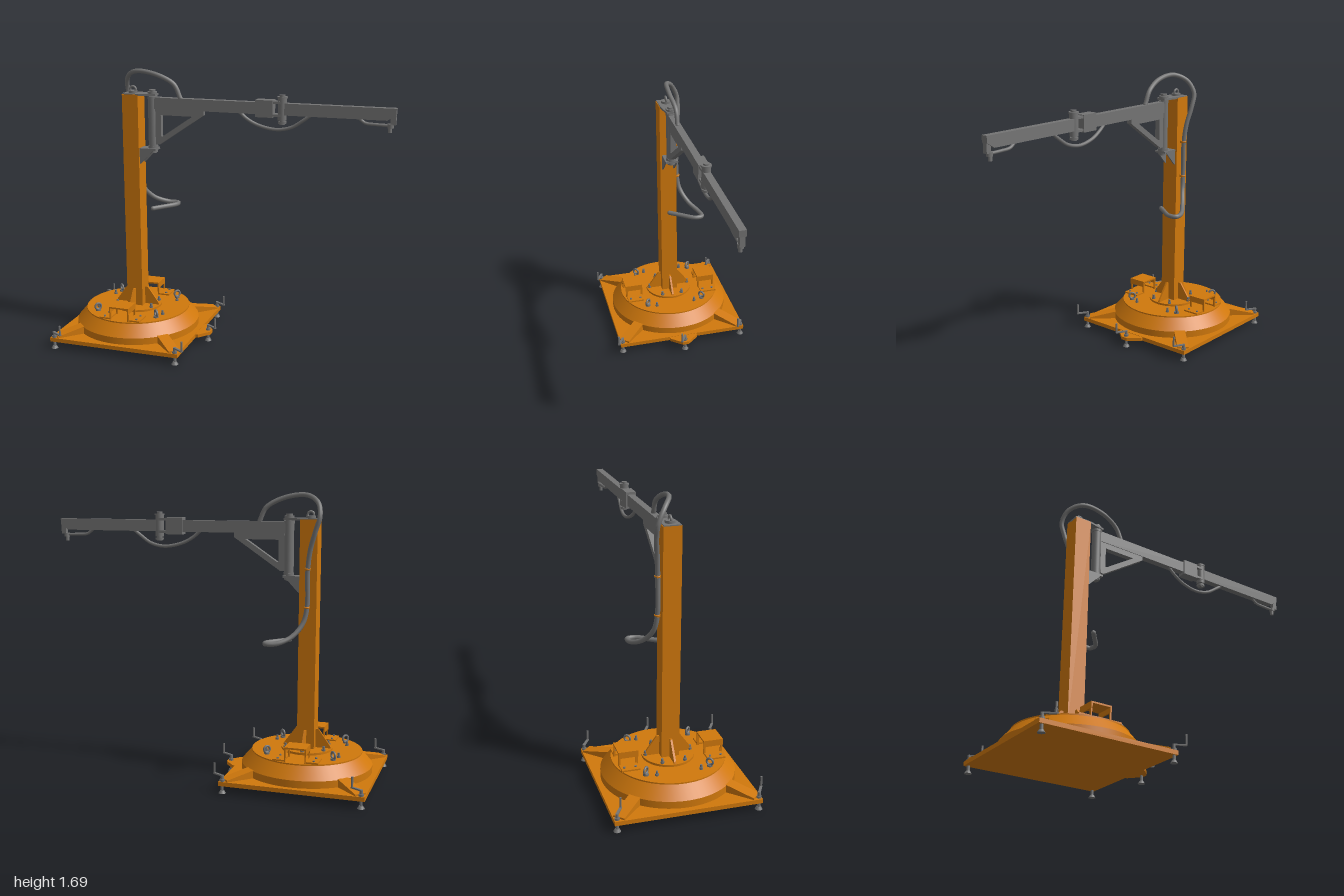
import * as THREE from 'three';

export function createModel() {
  const orange = new THREE.MeshStandardMaterial({ color: 0xd0780c });
  orange.name = 'orange paint';
  const grey = new THREE.MeshStandardMaterial({ color: 0x747474 });
  grey.name = 'grey steel';

  const model = new THREE.Group();
  model.name = 'pillarJib';
  const CX = -0.583, CZ = -0.012; // mast axis

  const add = (name, geo, mat, x = 0, y = 0, z = 0, parent = model) => {
    const m = new THREE.Mesh(geo, mat);
    m.name = name;
    m.position.set(x, y, z);
    parent.add(m);
    return m;
  };
  // box given by its min and max corners
  const box = (name, mat, x0, x1, y0, y1, z0, z1, parent) =>
    add(name, new THREE.BoxGeometry(x1 - x0, y1 - y0, z1 - z0), mat,
      (x0 + x1) / 2, (y0 + y1) / 2, (z0 + z1) / 2, parent);
  // upright cylinder between two heights
  const rod = (name, mat, r, x, y0, y1, z, parent, sides = 20) =>
    add(name, new THREE.CylinderGeometry(r, r, y1 - y0, sides), mat, x, (y0 + y1) / 2, z, parent);
  // outline in x,y extruded along z, centred on z
  const slab = (name, mat, pts, depth, z, hole, parent) => {
    const toV = (p) => new THREE.Vector2(p[0], p[1]);
    const s = new THREE.Shape(pts.map(toV));
    if (hole) s.holes.push(new THREE.Path(hole.map(toV)));
    const g = new THREE.ExtrudeGeometry(s, { depth, bevelEnabled: false });
    g.translate(0, 0, -depth / 2);
    return add(name, g, mat, 0, 0, z, parent);
  };
  const hose = (name, pts, r) => {
    const curve = new THREE.CatmullRomCurve3(pts.map((p) => new THREE.Vector3(...p)));
    add(name, new THREE.TubeGeometry(curve, pts.length * 8, r, 12), grey);
    for (const p of [pts[0], pts[pts.length - 1]]) {
      add(name + 'End', new THREE.SphereGeometry(r, 10, 8), grey, ...p);
    }
  };

  // Base plate with side tab
  box('basePlate', orange, -1, -0.166, 0.045, 0.07, CZ - 0.417, CZ + 0.417);
  const tab = slab('sideTab', orange,
    [[-0.17, -0.09], [-0.15, -0.09], [-0.09, -0.02], [-0.09, 0.02], [-0.15, 0.09], [-0.17, 0.09]], 0.02, CZ);
  tab.rotation.x = Math.PI / 2;
  tab.position.y = 0.058;

  // Round ballast drum: straight rim, sloped shoulder, flat top
  const drum = [[0.385, 0.07], [0.385, 0.112], [0.325, 0.182], [0.325, 0.19], [0, 0.19]];
  for (let i = 0; i < drum.length - 1; i++) {
    const seg = [drum[i], drum[i + 1]].map((p) => new THREE.Vector2(...p));
    add('drum', new THREE.LatheGeometry(seg, 64), orange, CX, 0, CZ);
  }
  rod('mastFlange', orange, 0.15, CX, 0.188, 0.203, CZ, model, 40);

  // Diagonal ribs running out to the corners
  for (let i = 0; i < 4; i++) {
    const rib = new THREE.Group();
    rib.name = 'cornerRib';
    rib.position.set(CX, 0, CZ);
    rib.rotation.y = Math.PI / 4 + i * Math.PI / 2;
    model.add(rib);
    slab('ribWedge', orange, [[0.35, 0.068], [0.55, 0.068], [0.55, 0.08], [0.375, 0.118], [0.35, 0.118]], 0.07, 0, null, rib);
  }

  // Levelling feet with crank handles
  const feet = [[-0.978, 0.39], [-0.978, -0.412], [-0.185, 0.39], [-0.185, -0.412], [-0.112, CZ]];
  for (const [x, z] of feet) {
    const foot = new THREE.Group();
    foot.name = 'levellingFoot';
    foot.position.set(x, 0, z);
    model.add(foot);
    add('footPad', new THREE.CylinderGeometry(0.012, 0.021, 0.016, 20), grey, 0, 0.008, 0, foot);
    rod('screw', grey, 0.009, 0, 0.01, 0.106, 0, foot, 12);
    rod('nut', grey, 0.015, 0, 0.07, 0.082, 0, foot, 6);
    const arm = box('crankArm', grey, -0.006, 0.07, 0.098, 0.106, -0.007, 0.007, foot);
    arm.position.set(0.028, 0.102, 0.017);
    arm.rotation.y = -0.53;
    rod('crankGrip', grey, 0.006, 0.057, 0.1, 0.163, 0.034, foot, 10);
  }

  // Fork brackets on the drum
  for (const s of [-1, 1]) {
    const b = new THREE.Group();
    b.name = 'forkBracket';
    b.position.set(CX, 0, CZ + s * 0.25);
    model.add(b);
    box('bracketTop', orange, -0.063, 0.063, 0.264, 0.274, -0.055, 0.06, b);
    for (const x of [-0.063, 0.055]) {
      box('bracketCheek', orange, x, x + 0.008, 0.236, 0.266, -0.055, 0.06, b);
      for (const z of [-0.055, 0.045]) box('bracketLeg', orange, x, x + 0.008, 0.19, 0.266, z, z + 0.012, b);
    }
    for (const t of [-1, 1]) {
      box('bracketFoot', orange, t * 0.097 - 0.035, t * 0.097 + 0.035, 0.188, 0.199, -0.052, 0.052, b);
      for (const z of [-0.032, 0.032]) rod('footBolt', grey, 0.007, t * 0.105, 0.197, 0.206, z, b, 6);
    }
  }

  // Flange bolts, drum bolts and lifting eyes
  const bolt = (r, a, y, size) => {
    const x = CX + r * Math.cos(a), z = CZ + r * Math.sin(a);
    rod('boltHead', grey, size, x, y, y + 0.014, z, model, 6);
    rod('boltEnd', grey, size * 0.6, x, y, y + 0.03, z, model, 10);
  };
  for (let i = 0; i < 6; i++) bolt(0.132, Math.PI / 6 + i * Math.PI / 3, 0.2, 0.012);
  for (const [sx, sz] of [[1, 1], [1, -1], [-1, 1], [-1, -1]]) {
    bolt(0.25, Math.atan2(sz * 0.128, sx * 0.216), 0.188, 0.011);
    const x = CX + sx * 0.195, z = CZ + sz * 0.185;
    rod('eyeCollar', grey, 0.016, x, 0.188, 0.2, z);
    const eye = add('liftingEye', new THREE.TorusGeometry(0.019, 0.0065, 10, 24), grey, x, 0.218, z);
    eye.rotation.y = -sx * sz * Math.PI / 4;
  }

  // Mast with four foot gussets
  box('mast', orange, CX - 0.052, CX + 0.05, 0.19, 1.54, CZ - 0.052, CZ + 0.052);
  for (let i = 0; i < 4; i++) {
    const g = new THREE.Group();
    g.name = 'mastGusset';
    g.position.set(CX, 0, CZ);
    g.rotation.y = i * Math.PI / 2;
    model.add(g);
    slab('gussetPlate', orange,
      [[0.045, 0.2], [0.145, 0.2], [0.14, 0.215], [0.068, 0.315], [0.045, 0.315]], 0.012, 0, null, g);
  }

  // Top bearing plate, tapering towards the hinge
  const topPlate = slab('topPlate', grey,
    [[-0.635, -0.048], [-0.53, -0.048], [-0.43, -0.03], [-0.43, 0.03], [-0.53, 0.048], [-0.635, 0.048]], 0.012, CZ);
  topPlate.rotation.x = Math.PI / 2;
  topPlate.position.y = 1.54;
  rod('topBoss', grey, 0.028, CX, 1.544, 1.56, CZ);
  add('topEye', new THREE.TorusGeometry(0.018, 0.007, 10, 24), grey, CX, 1.566, CZ);

  // Lower hinge bracket: shelf and two cheek plates
  box('lowerShelf', grey, -0.534, -0.43, 1.203, 1.215, CZ - 0.04, CZ + 0.04);
  for (const s of [-1, 1]) {
    slab('lowerCheek', grey, [[-0.534, 1.115], [-0.52, 1.125], [-0.445, 1.205], [-0.534, 1.205]], 0.008, CZ + s * 0.036);
  }

  // Main hinge barrel
  const HX = -0.458;
  rod('hingeBarrel', grey, 0.028, HX, 1.225, 1.525, CZ);
  for (const [r, y0, y1] of [[0.02, 1.185, 1.57], [0.031, 1.215, 1.23], [0.031, 1.515, 1.532], [0.029, 1.546, 1.558], [0.027, 1.19, 1.203]]) {
    rod('hingeCollar', grey, r, HX, y0, y1, CZ);
  }

  // Inner arm and triangular brace
  box('innerArm', grey, -0.44, 0.25, 1.456, 1.525, CZ - 0.021, CZ + 0.021);
  slab('brace', grey, [[-0.435, 1.456], [-0.435, 1.24], [-0.41, 1.24], [-0.13, 1.43], [-0.13, 1.456]], 0.034, CZ,
    [[-0.4, 1.42], [-0.2, 1.42], [-0.39, 1.292], [-0.4, 1.292]]);

  // Elbow: sleeve, pin and fork lugs
  box('elbowSleeve', grey, 0.19, 0.295, 1.44, 1.54, CZ - 0.03, CZ + 0.03);
  for (const y of [1.447, 1.521]) {
    box('elbowLug', grey, 0.28, 0.345, y, y + 0.014, CZ - 0.026, CZ + 0.026);
  }
  rod('elbowBarrel', grey, 0.026, 0.345, 1.425, 1.552, CZ);
  rod('elbowPin', grey, 0.017, 0.345, 1.4, 1.572, CZ);
  rod('elbowNut', grey, 0.026, 0.345, 1.405, 1.418, CZ, model, 6);
  rod('elbowCap', grey, 0.03, 0.345, 1.552, 1.562, CZ);

  // Outer arm and end fittings
  slab('outerArm', grey, [[0.33, 1.456], [0.95, 1.456], [0.998, 1.487], [1, 1.525], [0.33, 1.525]], 0.04, CZ);
  box('endBlock', grey, 0.968, 0.998, 1.43, 1.49, CZ - 0.014, CZ + 0.014);
  rod('endCollar', grey, 0.018, 0.968, 1.412, 1.436, CZ);
  rod('endSocket', grey, 0.011, 0.965, 1.387, 1.415, CZ);

  // Air hoses
  hose('mainHose', [
    [-0.28, 1.525, CZ], [-0.32, 1.605, CZ], [-0.43, 1.662, 0], [-0.56, 1.676, -0.012],
    [-0.635, 1.635, -0.06], [-0.655, 1.56, -0.098], [-0.632, 1.48, -0.1], [-0.6, 1.37, -0.086],
    [-0.585, 1.25, -0.078], [-0.585, 1.05, -0.078], [-0.565, 0.95, -0.092], [-0.51, 0.875, -0.135],
    [-0.43, 0.838, -0.185], [-0.37, 0.835, -0.19], [-0.362, 0.835, -0.145], [-0.42, 0.835, -0.06], [-0.465, 0.835, 0],
  ], 0.014);
  hose('elbowHose', [
    [0.09, 1.46, CZ], [0.13, 1.425, CZ], [0.2, 1.388, CZ - 0.005], [0.31, 1.367, CZ - 0.008],
    [0.4, 1.385, CZ - 0.005], [0.47, 1.43, CZ], [0.51, 1.46, CZ],
  ], 0.01);
  hose('endHose', [[0.79, 1.46, CZ], [0.825, 1.434, CZ], [0.89, 1.428, CZ], [0.965, 1.426, CZ]], 0.009);

  // Hose clamps on the mast
  for (const y of [1.04, 1.26]) {
    box('clampBase', orange, CX - 0.016, CX + 0.016, y - 0.007, y + 0.007, -0.085, -0.06);
    const ring = add('clampRing', new THREE.TorusGeometry(0.014, 0.005, 8, 20), orange, CX, y, -0.078);
    ring.rotation.x = Math.PI / 2;
  }
  return model;
}
